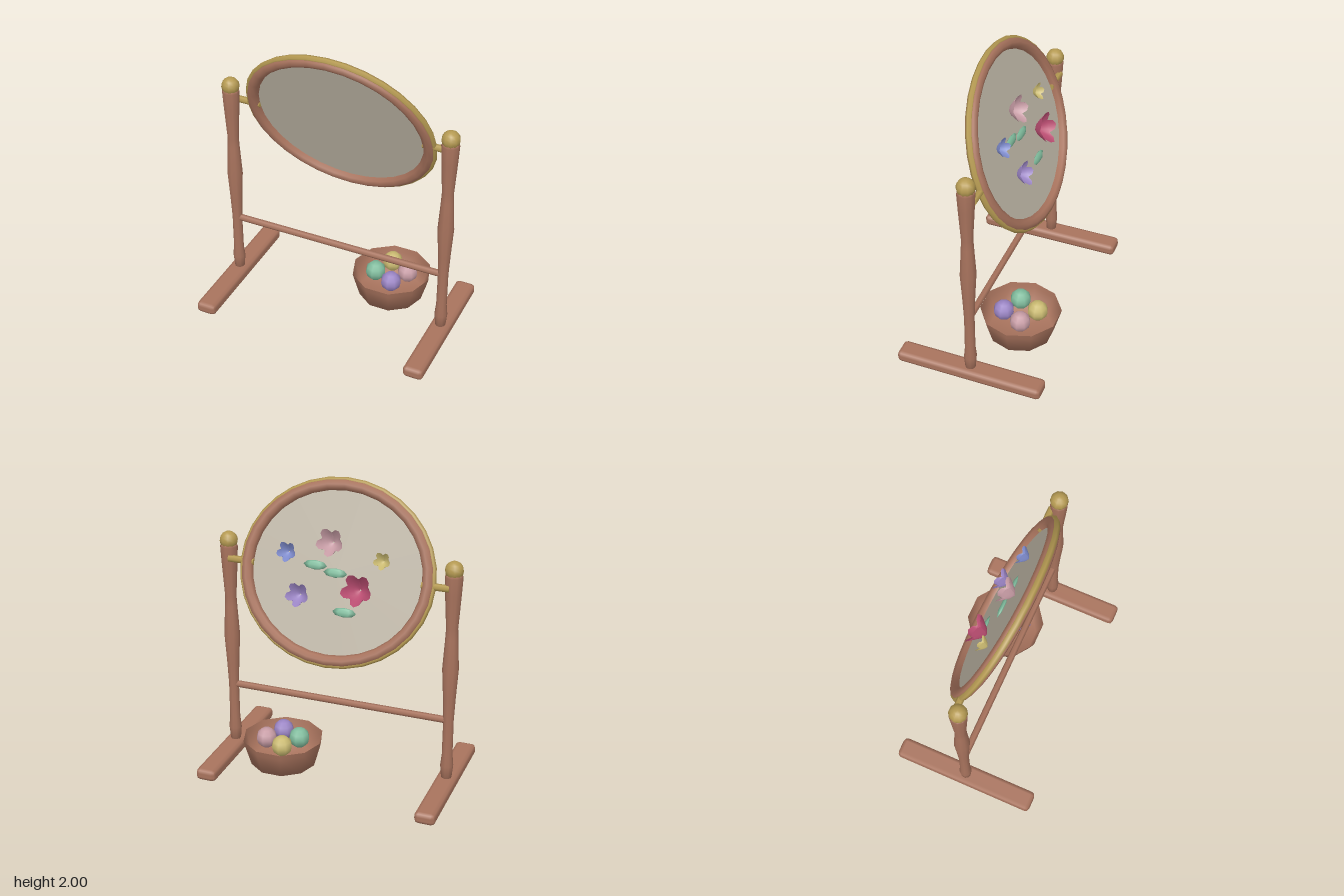
import * as THREE from 'three';
import { RoundedBoxGeometry } from 'three/addons/geometries/RoundedBoxGeometry.js';

const colours = {
  wood: 0xa8735d, brass: 0xb59a52, fabric: 0xbdb5a5, crimson: 0xb84c70, violet: 0x9a84c4,
  pink: 0xc69ba4, blue: 0x7d8acb, yellow: 0xc9b970, green: 0x7fbb9c,
};

export function createModel() {
  const model = new THREE.Group();
  model.name = 'embroideryStand';
  const mats = {};
  for (const [name, color] of Object.entries(colours)) {
    mats[name] = new THREE.MeshStandardMaterial({ color });
    mats[name].name = name;
  }
  for (const name of ['wood', 'fabric', 'crimson', 'violet', 'pink', 'blue', 'yellow']) mats[name].side = THREE.DoubleSide;

  const add = (parent, name, geometry, mat, x = 0, y = 0, z = 0) => {
    const mesh = new THREE.Mesh(geometry, mats[mat]);
    mesh.name = name;
    mesh.position.set(x, y, z);
    parent.add(mesh);
    return mesh;
  };
  const lathe = (points, sides) => new THREE.LatheGeometry(points.map(p => new THREE.Vector2(...p)), sides);

  // Turned posts, feet, finials and hoop pivots
  const postProfile = [[0, 0.07], [0.034, 0.07], [0.043, 0.17], [0.035, 0.25], [0.034, 0.5], [0.041, 0.66],
    [0.053, 0.87], [0.041, 1.08], [0.038, 1.15], [0.052, 1.38], [0.058, 1.5], [0.05, 1.515], [0, 1.515]];
  for (const side of [-1, 1]) {
    const x = 0.76 * side;
    add(model, 'foot', new RoundedBoxGeometry(0.14, 0.08, 1, 1, 0.028), 'wood', x, 0.04, 0);
    add(model, 'post', lathe(postProfile, 10), 'wood', x);
    add(model, 'finial', new THREE.SphereGeometry(0.06, 10, 8), 'brass', x, 1.54, 0);
    const pivot = add(model, 'pivot', new THREE.CylinderGeometry(0.023, 0.023, 0.18, 6), 'brass', 0.655 * side, 1.43, -0.04);
    pivot.rotation.z = Math.PI / 2;
  }
  const bar = add(model, 'crossbar', new THREE.CylinderGeometry(0.023, 0.023, 1.48, 6), 'wood', 0, 0.5, 0);
  bar.rotation.z = Math.PI / 2;

  // Tilted oval hoop with stretched fabric
  const hoop = new THREE.Group();
  hoop.name = 'hoop';
  hoop.position.set(0, 1.43, -0.04);
  hoop.rotation.x = 0.35;
  model.add(hoop);
  const oval = 0.92;
  add(hoop, 'innerHoop', new THREE.TorusGeometry(0.608, 0.04, 8, 32).scale(1, oval, 1), 'wood');
  add(hoop, 'outerHoop', new THREE.TorusGeometry(0.638, 0.022, 6, 32).scale(1, oval, 1), 'brass');
  add(hoop, 'fabric', new THREE.CircleGeometry(0.6, 32).scale(1, oval, 1), 'fabric');

  // Cupped flower with a scalloped rim, opening along -z
  const flower = r => {
    const rows = [[0.05, 0], [0.4, 0.22], [0.72, 0.6], [1, 0.95]];
    const g = lathe(rows, 20);
    const p = g.attributes.position;
    const lobe = [0.7, 0.95, 1.05, 0.95];
    for (let i = 0; i < p.count; i++) {
      const row = i % rows.length, k = lobe[Math.floor(i / rows.length) % 4];
      if (row === 3) p.setXYZ(i, p.getX(i) * k, p.getY(i) * k, p.getZ(i) * k);
    }
    g.scale(r, r, r).rotateX(-Math.PI / 2);
    g.computeVertexNormals();
    return g;
  };
  const flowers = [
    ['crimson', -0.18, -0.085, 0.1], ['violet', 0.215, -0.165, 0.077], ['pink', 0.035, 0.19, 0.088],
    ['blue', 0.325, 0.095, 0.064], ['yellow', -0.31, 0.115, 0.055],
  ];
  for (const [mat, x, y, r] of flowers) add(hoop, mat + 'Flower', flower(r), mat, x, y, -0.012);

  // Flat leaves lying on the back of the fabric
  for (const [x, y] of [[0.14, 0.035], [0, 0], [-0.09, -0.24]]) {
    add(hoop, 'leaf', new THREE.SphereGeometry(1, 6, 4).scale(0.08, 0.03, 0.014), 'green', x, y, -0.015);
  }

  // Ten-sided basket holding balls of yarn
  const basket = new THREE.Group();
  basket.name = 'basket';
  basket.position.set(0.325, 0, -0.18);
  model.add(basket);
  const bowl = lathe([[0, 0.085], [0.22, 0.085], [0.262, 0.23], [0.27, 0.265]], 10);
  add(basket, 'bowl', bowl.rotateY(Math.PI / 10), 'wood');
  for (const [mat, x, z] of [['green', -0.1, 0.04], ['violet', 0.04, 0.105], ['pink', 0.105, -0.035], ['yellow', -0.035, -0.105]]) {
    add(basket, mat + 'Yarn', new THREE.SphereGeometry(0.07, 8, 6), mat, x, 0.255, z);
  }
  return model;
}
